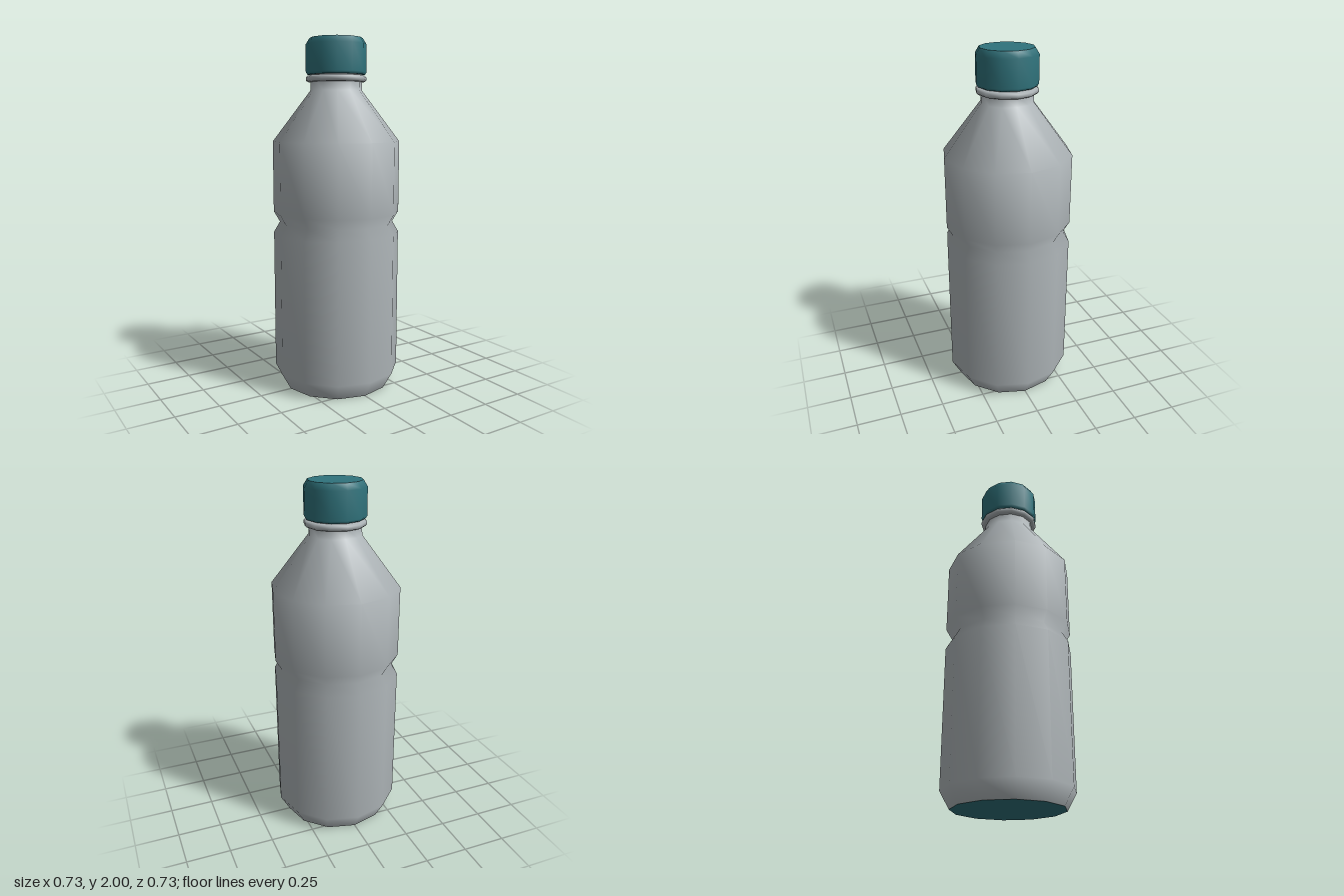
import * as THREE from 'three';

const SIDES = 12;

// Twelve-sided turned surface from [radius, height] pairs, listed bottom to top
function turned(name, profile, material) {
  const points = profile.map(([r, y]) => new THREE.Vector2(r, y));
  const mesh = new THREE.Mesh(new THREE.LatheGeometry(points, SIDES), material);
  mesh.name = name;
  return mesh;
}

export function createModel() {
  const plastic = new THREE.MeshStandardMaterial({ color: 0xaeb5b8 });
  plastic.name = 'grey plastic';
  const teal = new THREE.MeshStandardMaterial({ color: 0x30737c });
  teal.name = 'teal plastic';

  const bottle = new THREE.Group();
  bottle.name = 'bottle';

  // Body: chamfered foot, waist groove, sloped shoulder and neck
  bottle.add(turned('body', [
    [0.31, 0], [0.363, 0.095], [0.363, 0.9], [0.328, 0.96],
    [0.363, 1.02], [0.363, 1.425], [0.147, 1.71], [0.145, 1.77],
  ], plastic));

  // Collar under the cap
  bottle.add(turned('neckRing', [
    [0.14, 1.757], [0.162, 1.758], [0.172, 1.767],
    [0.172, 1.783], [0.162, 1.793], [0.14, 1.795],
  ], plastic));

  // Short neck section inside the cap
  bottle.add(turned('neckTop', [[0.15, 1.78], [0.15, 1.82]], plastic));

  // Cap side with bevelled rims
  bottle.add(turned('cap', [
    [0.14, 1.798], [0.162, 1.798], [0.172, 1.812], [0.172, 1.965], [0.15, 2],
  ], teal));

  // Flat cap top
  const capTop = new THREE.Mesh(new THREE.CircleGeometry(0.15, SIDES), teal);
  capTop.name = 'capTop';
  capTop.rotation.x = -Math.PI / 2;
  capTop.position.y = 2;
  bottle.add(capTop);

  // Flat coloured base
  const base = new THREE.Mesh(new THREE.CircleGeometry(0.31, SIDES), teal);
  base.name = 'base';
  base.rotation.x = Math.PI / 2;
  bottle.add(base);

  return bottle;
}
